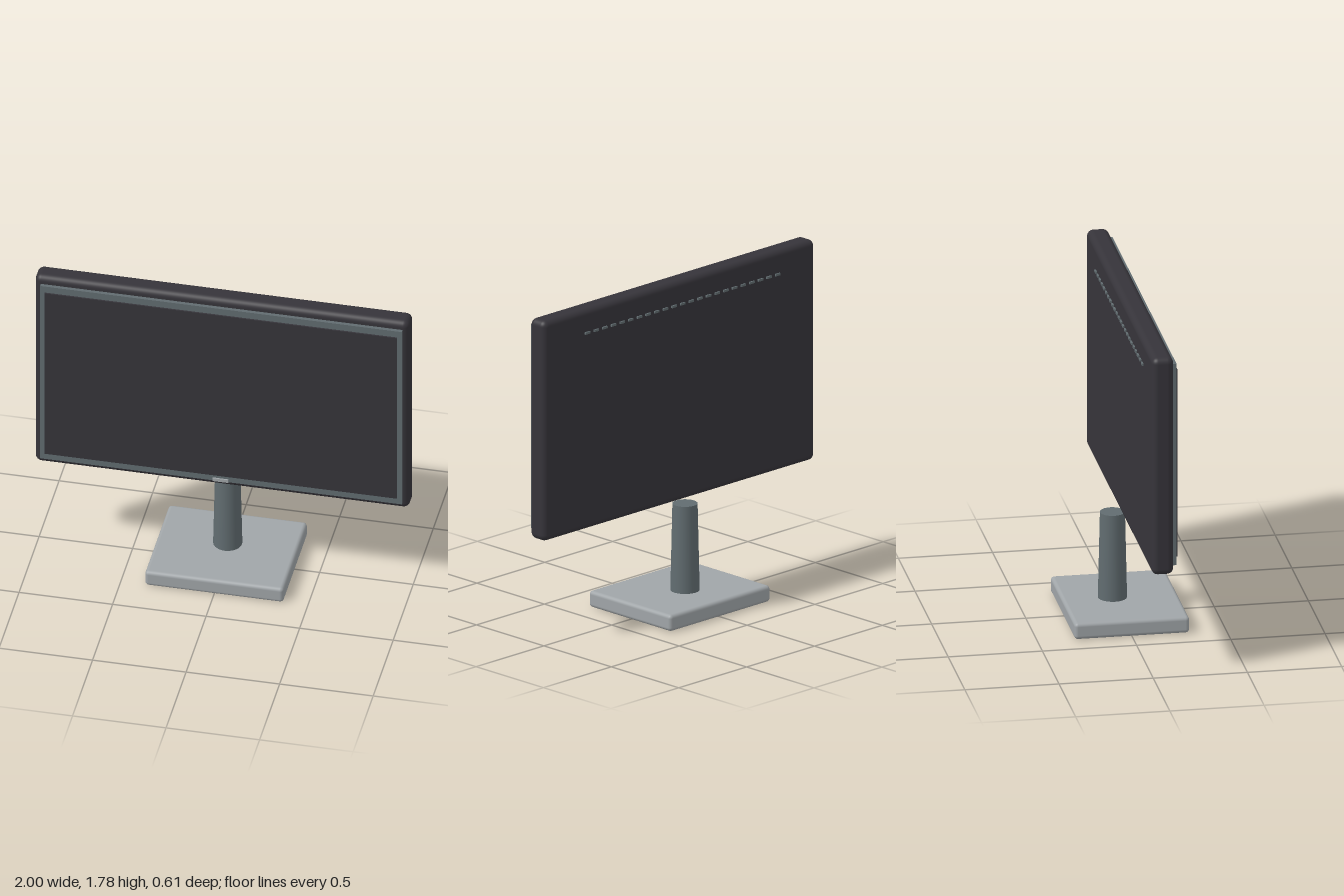
import * as THREE from 'three';
import { RoundedBoxGeometry } from 'three/addons/geometries/RoundedBoxGeometry.js';

const material = (name, color) => {
  const m = new THREE.MeshStandardMaterial({ color });
  m.name = name;
  return m;
};

export function createModel() {
  const group = new THREE.Group();
  group.name = 'monitor';
  const charcoal = material('charcoal plastic', 0x36343a);
  const slate = material('slate grey trim', 0x616c70);
  const silver = material('silver grey', 0xa0a5a8);

  const add = (name, geometry, mat, x, y, z, parent = group) => {
    const mesh = new THREE.Mesh(geometry, mat);
    mesh.name = name;
    mesh.position.set(x, y, z);
    parent.add(mesh);
    return mesh;
  };

  // Stand: rounded foot and tapered column set behind the panel
  add('base', new RoundedBoxGeometry(0.74, 0.09, 0.61, 3, 0.02), silver, 0, 0.045, 0);
  add('column', new THREE.CylinderGeometry(0.066, 0.077, 0.485, 24), slate, 0, 0.3225, -0.04);

  // Display housing with soft edges
  add('housing', new RoundedBoxGeometry(2, 1.21, 0.115, 4, 0.034), charcoal, 0, 1.172, 0.0535);

  // Front trim, a thin frame standing proud of the housing
  const frame = new THREE.Shape();
  frame.moveTo(-0.967, 0.61).lineTo(0.967, 0.61).lineTo(0.967, 1.732).lineTo(-0.967, 1.732).closePath();
  const hole = new THREE.Path();
  hole.moveTo(-0.935, 0.655).lineTo(-0.935, 1.685).lineTo(0.935, 1.685).lineTo(0.935, 0.655).closePath();
  frame.holes.push(hole);
  add('bezel', new THREE.ExtrudeGeometry(frame, { depth: 0.025, bevelEnabled: false }), slate, 0, 0, 0.105);

  // Screen and the small plate below it
  add('screen', new THREE.BoxGeometry(1.884, 1.044, 0.009), charcoal, 0, 1.171, 0.1335);
  add('frontPlate', new THREE.BoxGeometry(0.085, 0.018, 0.009), silver, -0.002, 0.62, 0.1335);

  // Row of short vents across the upper back
  const vents = new THREE.Group();
  vents.name = 'vents';
  group.add(vents);
  const slot = new THREE.BoxGeometry(0.034, 0.012, 0.01);
  for (let i = 0; i < 23; i++) add('vent', slot, slate, -0.715 + i * 0.0637, 1.65, -0.008, vents);

  return group;
}
